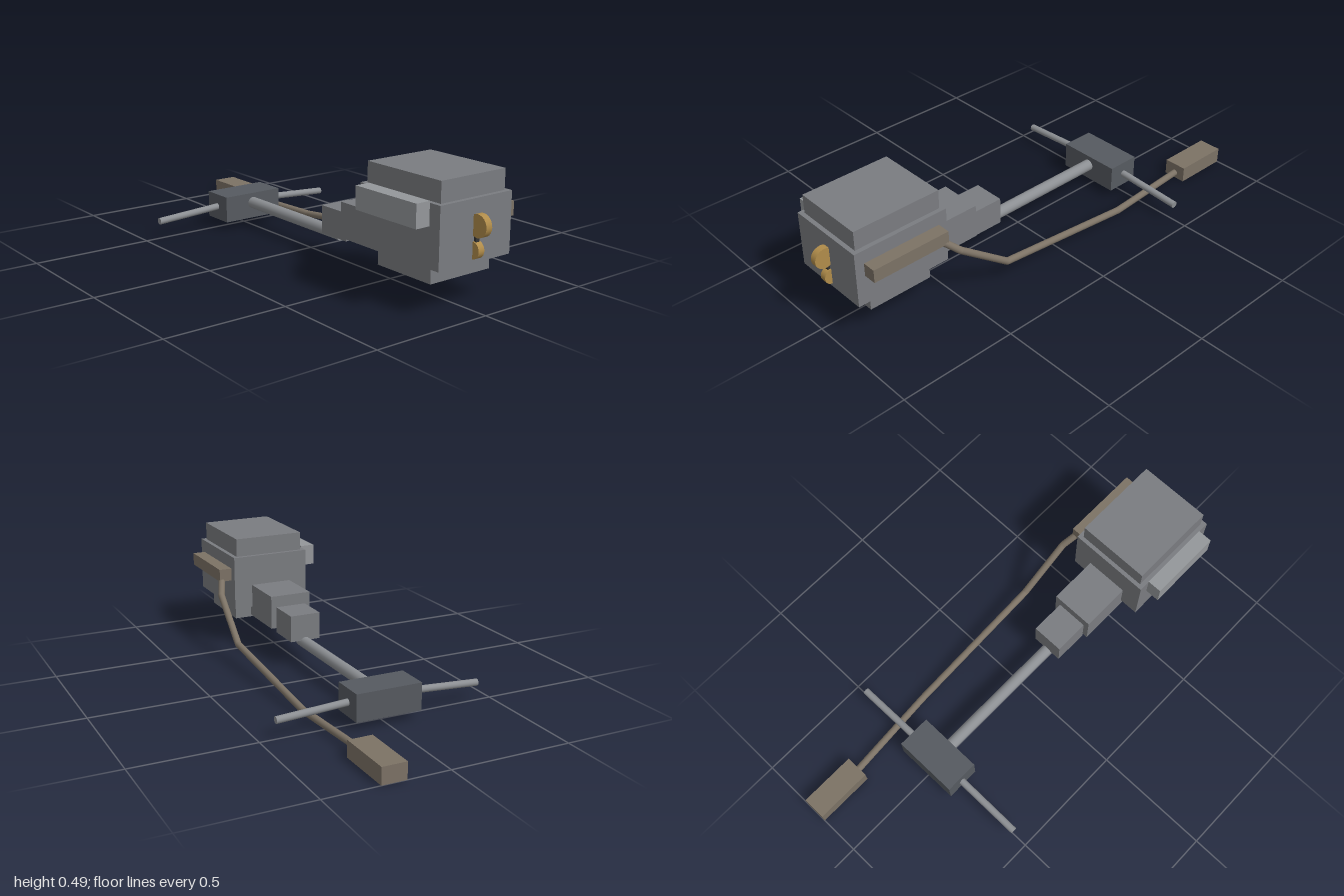
import * as THREE from 'three';

const paint = (color) => new THREE.MeshStandardMaterial({ color });
const mats = {
  iron: paint(0x7a7c80),
  alloy: paint(0x94979a),
  shaft: paint(0x8c8f93),
  dark: paint(0x565a60),
  exhaust: paint(0x7c7265),
  brass: paint(0xb08c4a),
  belt: paint(0x333333),
};

export function createModel() {
  const model = new THREE.Group();
  model.name = 'drivetrain';

  const add = (name, geometry, mat) => {
    const mesh = new THREE.Mesh(geometry, mats[mat]);
    mesh.name = name;
    model.add(mesh);
    return mesh;
  };

  // Box given by its extents along each axis
  const box = (name, [x0, x1], [y0, y1], [z0, z1], mat) => {
    const mesh = add(name, new THREE.BoxGeometry(x1 - x0, y1 - y0, z1 - z0), mat);
    mesh.position.set((x0 + x1) / 2, (y0 + y1) / 2, (z0 + z1) / 2);
  };

  // Cylinder running between two points
  const rod = (name, from, to, radius, mat, sides = 16) => {
    const a = new THREE.Vector3(...from);
    const dir = new THREE.Vector3(...to).sub(a);
    const mesh = add(name, new THREE.CylinderGeometry(radius, radius, dir.length(), sides), mat);
    mesh.position.copy(a).addScaledVector(dir, 0.5);
    mesh.quaternion.setFromUnitVectors(new THREE.Vector3(0, 1, 0), dir.normalize());
  };

  // Engine
  box('engineBlock', [-0.175, 0.175], [0.178, 0.413], [0.523, 0.938], 'iron');
  box('cylinderHead', [-0.156, 0.156], [0.413, 0.493], [0.54, 0.92], 'iron');
  box('oilPan', [-0.146, 0.146], [0.11, 0.178], [0.592, 0.87], 'iron');
  box('intakeManifold', [-0.237, -0.175], [0.33, 0.42], [0.57, 0.887], 'alloy');
  box('exhaustManifold', [0.173, 0.231], [0.302, 0.357], [0.56, 0.9], 'exhaust');

  // Front pulleys and belt
  rod('upperPulley', [-0.014, 0.318, 0.957], [0.014, 0.318, 0.957], 0.043, 'brass', 24);
  rod('lowerPulley', [-0.014, 0.226, 0.935], [0.014, 0.226, 0.935], 0.033, 'brass', 24);
  box('belt', [-0.008, 0.008], [0.23, 0.3], [0.93, 0.948], 'belt');

  // Transmission
  box('gearbox', [-0.092, 0.092], [0.135, 0.28], [0.31, 0.54], 'iron');
  box('gearboxTail', [-0.068, 0.068], [0.115, 0.23], [0.16, 0.312], 'iron');
  rod('driveShaft', [0, 0.104, 0.2], [0, 0.104, -0.46], 0.025, 'shaft');

  // Rear axle
  box('differential', [-0.14, 0.14], [0.035, 0.148], [-0.57, -0.425], 'dark');
  for (const side of [-1, 1]) {
    rod(side > 0 ? 'leftHalfShaft' : 'rightHalfShaft',
      [side * 0.08, 0.096, -0.5], [side * 0.435, 0.075, -0.5], 0.0145, 'shaft');
  }

  // Exhaust pipe with rounded bends, ending in the muffler
  const path = [
    [0.21, 0.32, 0.59], [0.243, 0.253, 0.515], [0.256, 0.093, 0.295],
    [0.253, 0.025, -0.35], [0.224, 0.024, -0.77],
  ];
  const pipeRadius = 0.0145;
  for (let i = 1; i < path.length; i++) {
    rod('exhaustPipe', path[i - 1], path[i], pipeRadius, 'exhaust');
    if (i < path.length - 1) {
      add('exhaustBend', new THREE.SphereGeometry(pipeRadius, 16, 12), 'exhaust').position.set(...path[i]);
    }
  }
  box('muffler', [0.174, 0.275], [0, 0.068], [-1, -0.755], 'exhaust');

  return model;
}
